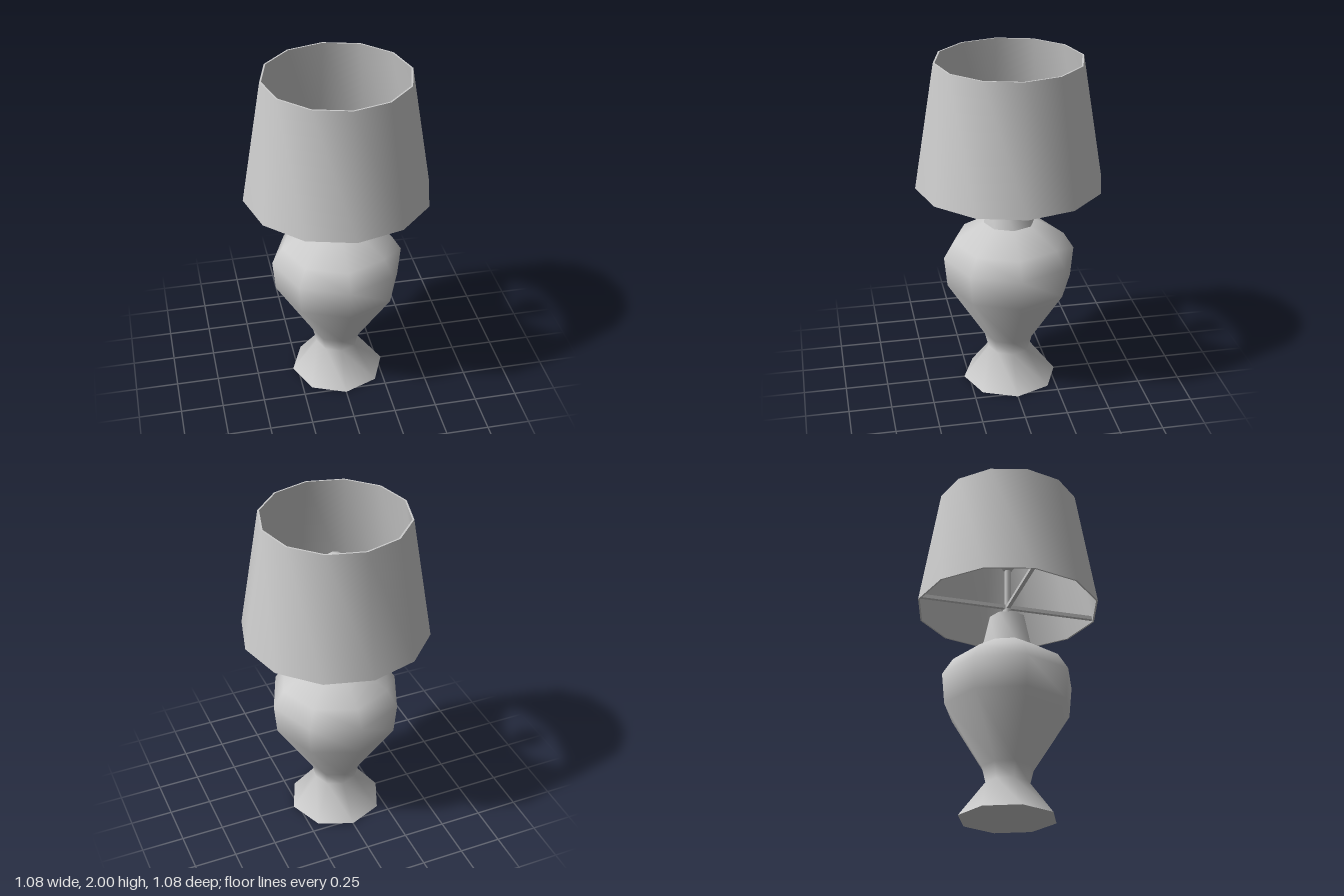
import * as THREE from 'three';
import { toCreasedNormals } from 'three/addons/utils/BufferGeometryUtils.js';

const material = new THREE.MeshStandardMaterial({ color: 0xcccccc });

// Turned part from [radius, height] pairs, listed from bottom to top on the outside
function turned(name, profile, sides, crease) {
  const points = profile.map(([r, y]) => new THREE.Vector2(r, y));
  const geometry = toCreasedNormals(new THREE.LatheGeometry(points, sides), crease);
  const mesh = new THREE.Mesh(geometry, material);
  mesh.name = name;
  return mesh;
}

export function createModel() {
  const lamp = new THREE.Group();
  lamp.name = 'tableLamp';

  // Eight-sided vase body with a flared foot
  lamp.add(turned('body', [
    [0, 0], [0.28, 0], [0.128, 0.2], [0.15, 0.29], [0.37, 0.64],
    [0.387, 0.82], [0.325, 0.92], [0.15, 1.03], [0, 1.03],
  ], 8, 1.2));

  // Tapered neck
  lamp.add(turned('neck', [[0.15, 1.03], [0.108, 1.22], [0, 1.22]], 8, 0.9));

  // Rod carrying the bulb
  const rod = new THREE.Mesh(new THREE.CylinderGeometry(0.02, 0.02, 0.36, 8), material);
  rod.name = 'rod';
  rod.position.y = 1.38;
  lamp.add(rod);

  // Bulb
  lamp.add(turned('bulb', [
    [0, 1.54], [0.022, 1.54], [0.05, 1.58], [0.078, 1.63],
    [0.086, 1.67], [0.075, 1.72], [0.045, 1.75], [0, 1.765],
  ], 8, 1.2));

  // Crossed bars holding the shade
  for (let i = 0; i < 2; i++) {
    const bar = new THREE.Mesh(new THREE.BoxGeometry(1.06, 0.022, 0.022), material);
    bar.name = 'shadeBar';
    bar.position.y = 1.296;
    bar.rotation.y = i * Math.PI / 2;
    lamp.add(bar);
  }

  // Thin twelve-sided shade, open at both ends
  lamp.add(turned('shade', [
    [0.53, 1.275], [0.54, 1.275], [0.42, 2], [0.41, 2], [0.53, 1.275],
  ], 12, 0.7));

  return lamp;
}
